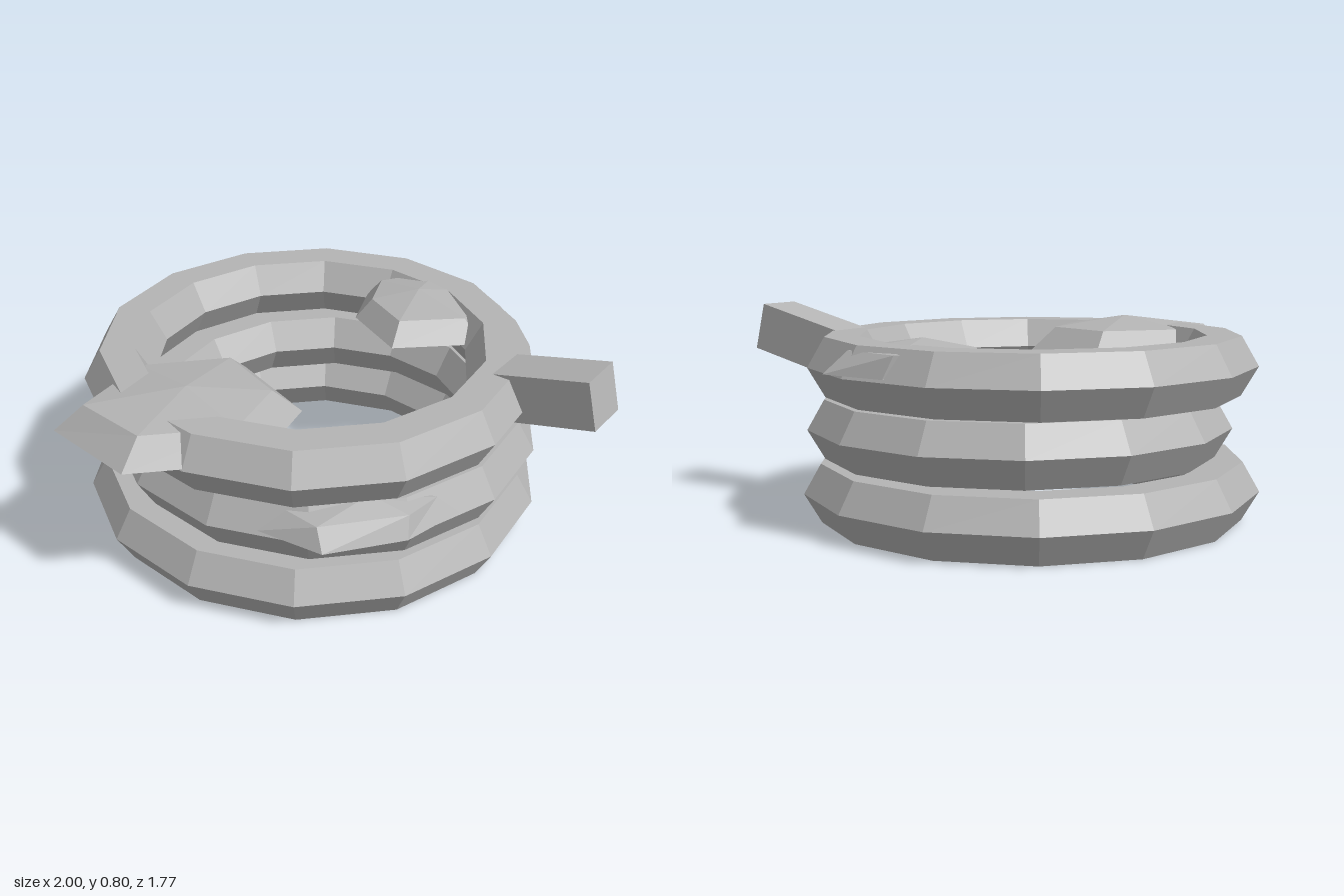
import * as THREE from 'three';

const stone = new THREE.MeshStandardMaterial({ color: 0xb4b4b4 });
stone.name = 'grey stone';

// Faceted mesh: unshared vertices give every face its own normal
function facetedMesh(name, geometry) {
  const flat = geometry.index ? geometry.toNonIndexed() : geometry;
  flat.computeVertexNormals();
  const mesh = new THREE.Mesh(flat, stone);
  mesh.name = name;
  return mesh;
}

// Low dome: six base points [x, z], a smaller shoulder ring, an apex and a flat underside.
// Points run counter-clockwise as seen from above.
function boulder(name, y, height, apex, base, shoulderXZ) {
  const [cx, cz] = apex;
  const shoulderScale = 0.74;
  const low = base.map(([x, z]) => [x, y, z]);
  const mid = base.map(([x, z], i) => {
    const [sx, sz] = (shoulderXZ && shoulderXZ[i]) ||
      [cx + (x - cx) * shoulderScale, cz + (z - cz) * shoulderScale];
    return [sx, y + height * 0.68, sz];
  });
  const top = [cx, y + height, cz];
  const bottom = [cx, y, cz];
  const corners = [];
  for (let i = 0; i < low.length; i++) {
    const j = (i + 1) % low.length;
    corners.push(
      low[i], low[j], mid[j],
      low[i], mid[j], mid[i],
      mid[i], mid[j], top,
      low[j], low[i], bottom
    );
  }
  const geometry = new THREE.BufferGeometry();
  geometry.setAttribute('position', new THREE.Float32BufferAttribute(corners.flat(), 3));
  return facetedMesh(name, geometry);
}

export function createModel() {
  const model = new THREE.Group();
  model.name = 'stoneWell';

  // Stacked hexagonal-section rings: [name, x, y, z, radius]
  const rings = [
    ['bottomRing', -0.025, 0.115, -0.025, 0.754],
    ['middleRing', 0.015, 0.355, 0, 0.694],
    ['topRing', -0.03, 0.594, -0.025, 0.736],
  ];
  for (const [name, x, y, z, radius] of rings) {
    const geometry = new THREE.TorusGeometry(radius, 0.131, 6, 14).rotateX(Math.PI / 2);
    const ring = facetedMesh(name, geometry);
    ring.position.set(x, y, z);
    model.add(ring);
  }

  // Large flat boulder on the rim
  model.add(boulder('largeRimBoulder', 0.6, 0.14, [-0.53, 0.34], [
    [-0.12, 0.34], [-0.29, -0.01], [-0.74, 0], [-1, 0.34], [-0.77, 0.65], [-0.32, 0.65],
  ], { 3: [-0.89, 0.34] }));

  // Smaller boulder on the opposite rim
  model.add(boulder('smallRimBoulder', 0.605, 0.12, [0.45, -0.32], [
    [0.81, -0.34], [0.63, -0.55], [0.29, -0.56], [0.195, -0.34], [0.29, -0.06], [0.64, -0.04],
  ], { 0: [0.72, -0.34], 1: [0.59, -0.55] }));

  // Boulder wedged into the front of the middle ring
  model.add(boulder('frontBoulder', 0.37, 0.11, [0.06, 0.72], [
    [0.38, 0.72], [0.17, 0.58], [-0.12, 0.58], [-0.33, 0.72], [-0.13, 0.885], [0.17, 0.85],
  ], { 4: [-0.14, 0.83], 5: [0.18, 0.81] }));

  // Square block sticking out of the rim, tilted upwards
  const block = facetedMesh('tiltedBlock', new THREE.BoxGeometry(0.185, 0.187, 0.45));
  block.position.set(0.76, 0.655, 0.425);
  block.rotation.set(-0.245, Math.PI / 4, 0, 'YXZ');
  model.add(block);

  return model;
}
